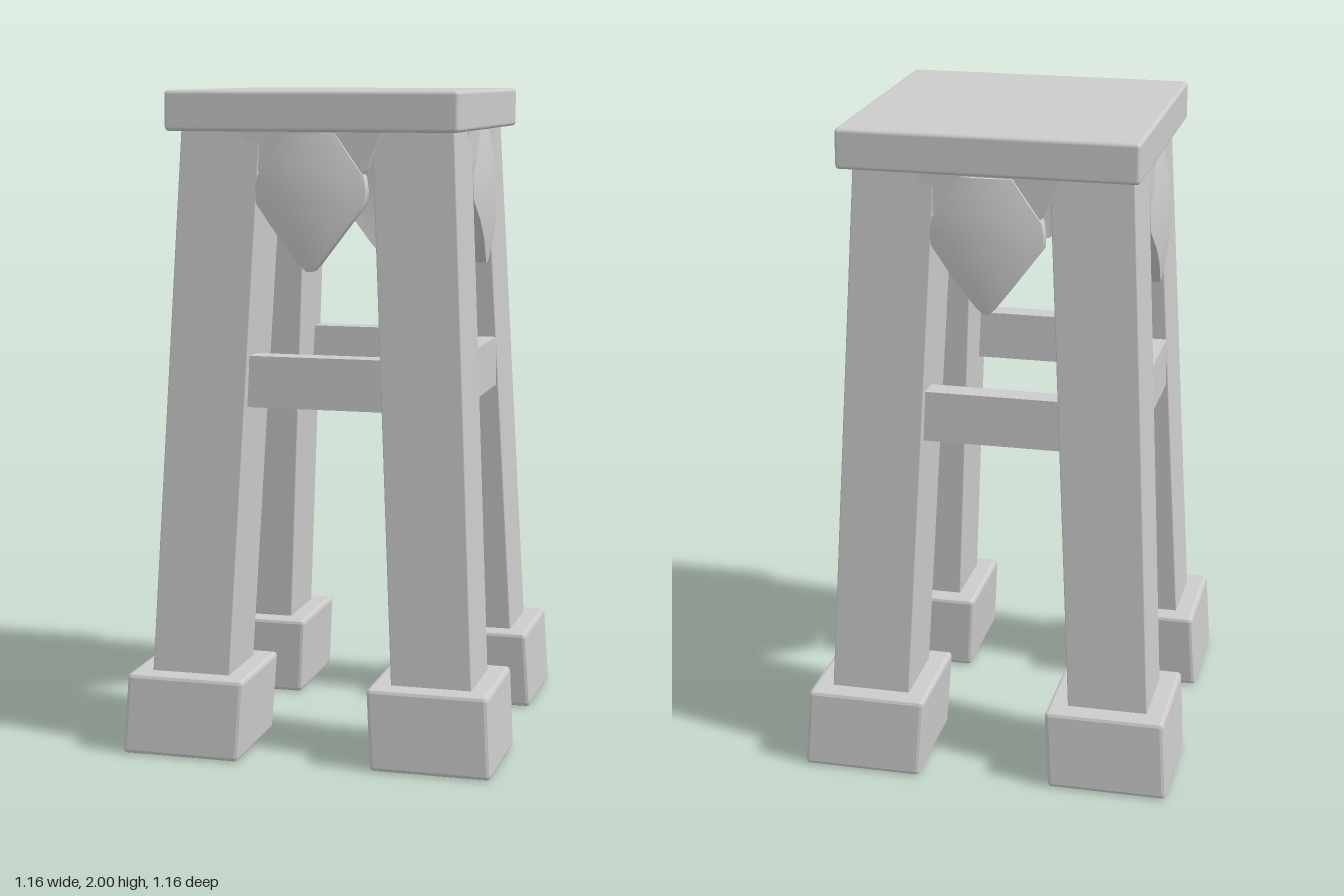
import * as THREE from 'three';
import { RoundedBoxGeometry } from 'three/addons/geometries/RoundedBoxGeometry.js';

const material = new THREE.MeshStandardMaterial({ color: 0xcccccc });

function part(name, geometry, parent) {
  const mesh = new THREE.Mesh(geometry, material);
  mesh.name = name;
  parent.add(mesh);
  return mesh;
}

// Softly bevelled block between y0 and y1, leaning toward the axis as it rises.
// x and z are the [min, max] extents at height yRef.
function leaningBlock(x, z, y0, y1, yRef, lean, bevel) {
  const g = new RoundedBoxGeometry(x[1] - x[0], y1 - y0, z[1] - z[0], 1, bevel);
  g.translate((x[0] + x[1]) / 2, (y0 + y1) / 2, (z[0] + z[1]) / 2);
  const p = g.attributes.position;
  for (let i = 0; i < p.count; i++) {
    const shift = lean * (p.getY(i) - yRef);
    p.setX(i, p.getX(i) - shift);
    p.setZ(i, p.getZ(i) - shift);
  }
  g.computeVertexNormals();
  return g;
}

// Bulging shield: a grid box whose rows follow a height / half-width profile.
function shieldGeometry() {
  const rows = [[1.875, 0.075], [1.81, 0.12], [1.75, 0.162], [1.71, 0.168], [1.67, 0.165],
    [1.61, 0.12], [1.55, 0.075], [1.49, 0.028], [1.472, 0.01]];
  const g = new THREE.BoxGeometry(2, 2, 1, 10, rows.length - 1, 1);
  const p = g.attributes.position;
  for (let i = 0; i < p.count; i++) {
    const row = Math.round((1 - p.getY(i)) / 2 * (rows.length - 1));
    const [y, half] = rows[row];
    const x = p.getX(i) * half;
    const front = 0.46 - 0.9 * x * x - 0.5 * (y - 1.66) ** 2;
    p.setXYZ(i, x, y, p.getZ(i) > 0 ? front : front - 0.042);
  }
  g.computeVertexNormals();
  return g;
}

// Tapered bracket plate behind each shield.
function bracketGeometry() {
  const s = new THREE.Shape();
  s.moveTo(-0.215, 1.885);
  s.lineTo(-0.165, 1.77);
  s.lineTo(-0.09, 1.66);
  s.lineTo(0.09, 1.66);
  s.lineTo(0.165, 1.77);
  s.lineTo(0.215, 1.885);
  const g = new THREE.ExtrudeGeometry(s, { depth: 0.045, bevelEnabled: false });
  return g.translate(0, 0, 0.38);
}

export function createModel() {
  const model = new THREE.Group();
  model.name = 'stool';

  // Seat slab
  part('seat', new RoundedBoxGeometry(0.892, 0.12, 0.892, 2, 0.012), model).position.y = 1.94;

  const leg = leaningBlock([0.26, 0.505], [0.237, 0.481], 0.2, 1.885, 0.25, 0.05, 0.003);
  const foot = leaningBlock([0.213, 0.58], [0.19, 0.557], 0, 0.247, 0, 0.06, 0.012);
  const stretcher = new THREE.BoxGeometry(0.46, 0.155, 0.07).translate(0.005, 1.138, 0.398);
  const shield = shieldGeometry();
  const bracket = bracketGeometry();

  // Each side carries the same set, turned a quarter
  ['front', 'left', 'back', 'right'].forEach((label, i) => {
    const side = new THREE.Group();
    side.name = `${label}Side`;
    side.rotation.y = i * Math.PI / 2;
    part(`${label}Leg`, leg, side);
    part(`${label}Foot`, foot, side);
    part(`${label}Stretcher`, stretcher, side);
    part(`${label}Shield`, shield, side);
    part(`${label}Bracket`, bracket, side);
    model.add(side);
  });
  return model;
}
